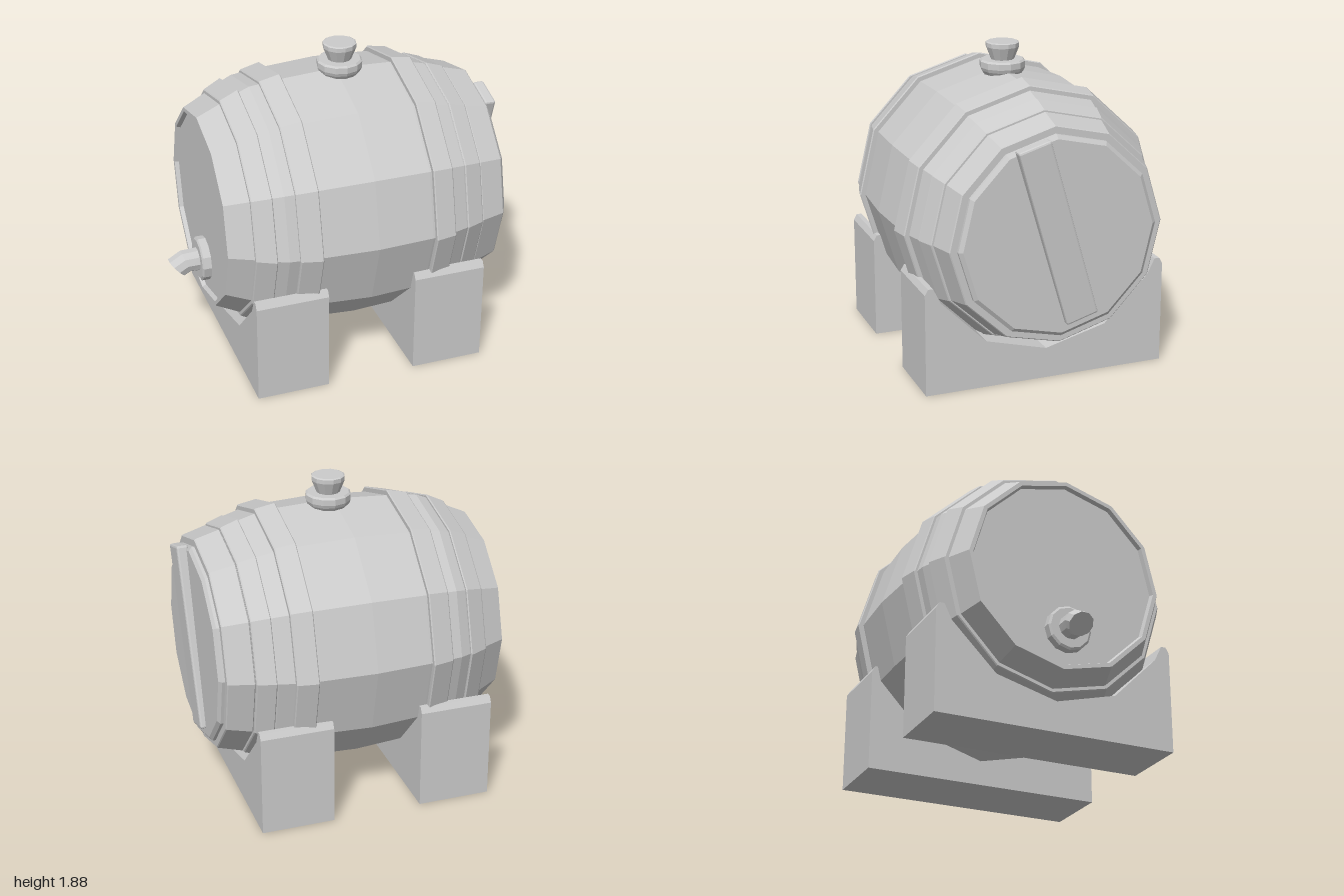
import * as THREE from 'three';
import { RoundedBoxGeometry } from 'three/addons/geometries/RoundedBoxGeometry.js';

const SIDES = 12;
const AXIS_Y = 0.93; // height of the barrel's axis
const ROLL = 0.03; // slight roll of the barrel about its axis

const material = new THREE.MeshStandardMaterial({ color: 0xcccccc, flatShading: true });

function part(name, geometry, parent) {
  const mesh = new THREE.Mesh(geometry, material);
  mesh.name = name;
  parent.add(mesh);
  return mesh;
}

// Lathe from [position, radius] pairs, listed in rising position
function turned(profile, sides = SIDES) {
  return new THREE.LatheGeometry(profile.map(([p, r]) => new THREE.Vector2(r, p)), sides);
}

// The same, with the axis laid along +x
const turnedX = (profile, sides) => turned(profile, sides).rotateZ(-Math.PI / 2);

function buildBarrel() {
  const barrel = new THREE.Group();
  barrel.name = 'barrel';
  barrel.position.y = AXIS_Y;
  barrel.rotation.x = ROLL;

  // Staves, with a shallow recessed head at the tap end
  part('staves', turnedX([
    [-0.765, 0], [-0.765, 0.565], [-0.79, 0.575], [-0.79, 0.6], [-0.65, 0.665],
    [-0.53, 0.725], [-0.47, 0.75], [-0.27, 0.77], [0.06, 0.79], [0.4, 0.775],
    [0.54, 0.755], [0.63, 0.73], [0.76, 0.67], [0.905, 0.61], [0.905, 0],
  ]), barrel);

  // Hoops: start, radius at start, end, radius at end
  const hoops = [
    [-0.65, 0.69, -0.535, 0.74],
    [-0.41, 0.775, -0.28, 0.802],
    [0.412, 0.806, 0.54, 0.786],
    [0.638, 0.733, 0.75, 0.698],
    [0.752, 0.685, 0.907, 0.645],
  ];
  for (const [x0, r0, x1, r1] of hoops) {
    part('hoop', turnedX([
      [x0, r0 - 0.07], [x0, r0 - 0.006], [x0 + 0.006, r0],
      [x1 - 0.006, r1], [x1, r1 - 0.006], [x1, r1 - 0.07],
    ]), barrel);
  }

  // Raised head at the far end
  part('raisedHead', turnedX([
    [0.88, 0], [0.88, 0.6], [0.925, 0.598], [0.942, 0.575], [0.942, 0],
  ]), barrel);
  return barrel;
}

function buildBung() {
  const bung = new THREE.Group();
  bung.name = 'bung';
  bung.position.set(0.09, 0, 0.015);
  part('bungCollar', turned([
    [1.66, 0], [1.685, 0.11], [1.71, 0.128], [1.73, 0.136], [1.765, 0.136],
    [1.775, 0.125], [1.775, 0],
  ]), bung);
  part('bungPlug', turned([
    [1.74, 0], [1.74, 0.065], [1.77, 0.068], [1.85, 0.1], [1.875, 0.1], [1.88, 0.09], [1.88, 0],
  ]), bung);
  return bung;
}

function buildTap() {
  const tap = new THREE.Group();
  tap.name = 'tap';
  tap.position.set(0, 0.577, 0.01);
  part('tapFlange', turnedX([
    [-0.82, 0], [-0.82, 0.122], [-0.812, 0.135], [-0.75, 0.135],
  ]), tap);

  // Spout: rings along the bend, the last two tilted downward
  const rings = [[-0.8, 0, 0], [-0.895, 0, 0.36], [-0.95, -0.032, 0.75]];
  const geometry = new THREE.CylinderGeometry(0.073, 0.073, 1, 10, rings.length - 1);
  const pos = geometry.attributes.position;
  for (let i = 0; i < pos.count; i++) {
    const [x, y, tilt] = rings[Math.round((0.5 - pos.getY(i)) * (rings.length - 1))];
    const u = pos.getX(i);
    pos.setXYZ(i, x - Math.sin(tilt) * u, y + Math.cos(tilt) * u, pos.getZ(i));
  }
  // Turn the faces outward where the mapping has mirrored them
  const a = new THREE.Vector3(), b = new THREE.Vector3(), c = new THREE.Vector3();
  const index = geometry.index;
  [a, b, c].forEach((v, k) => v.fromBufferAttribute(pos, index.getX(k)));
  const normal = b.clone().sub(a).cross(c.clone().sub(a));
  if (normal.y * a.y + normal.z * a.z < 0) {
    for (let i = 0; i < index.count; i += 3) {
      const first = index.getX(i);
      index.setX(i, index.getX(i + 2));
      index.setX(i + 2, first);
    }
  }
  geometry.computeVertexNormals();
  part('tapSpout', geometry, tap);
  return tap;
}

// Cradle block with chamfered shoulders and a hollow that follows the barrel
function cradleGeometry(width) {
  const shape = new THREE.Shape();
  shape.moveTo(-0.74, 0);
  shape.lineTo(0.74, 0);
  shape.lineTo(0.74, 0.615);
  shape.lineTo(0.72, 0.65);
  shape.lineTo(0.69, 0.65);
  const radius = 0.745;
  for (let i = 1; i <= 5; i++) {
    const angle = -i * Math.PI / 6;
    shape.lineTo(radius * Math.cos(angle), AXIS_Y + radius * Math.sin(angle));
  }
  shape.lineTo(-0.69, 0.65);
  shape.lineTo(-0.72, 0.65);
  shape.lineTo(-0.74, 0.615);
  shape.closePath();
  return new THREE.ExtrudeGeometry(shape, { depth: width, bevelEnabled: false })
    .translate(0, 0, -width / 2).rotateY(Math.PI / 2);
}

export function createModel() {
  const model = new THREE.Group();
  model.name = 'barrelOnCradles';
  model.add(buildBarrel(), buildBung(), buildTap());

  // Slanted plank across the raised head
  const plank = part('headPlank', new RoundedBoxGeometry(0.07, 1.1, 0.2, 1, 0.012), model);
  plank.position.set(0.952, 0.962, 0.02);
  plank.rotation.set(0.286, 0, -0.022);

  for (const x of [-0.45, 0.53]) {
    part('cradle', cradleGeometry(0.44), model).position.set(x, 0, -0.003);
  }
  return model;
}
